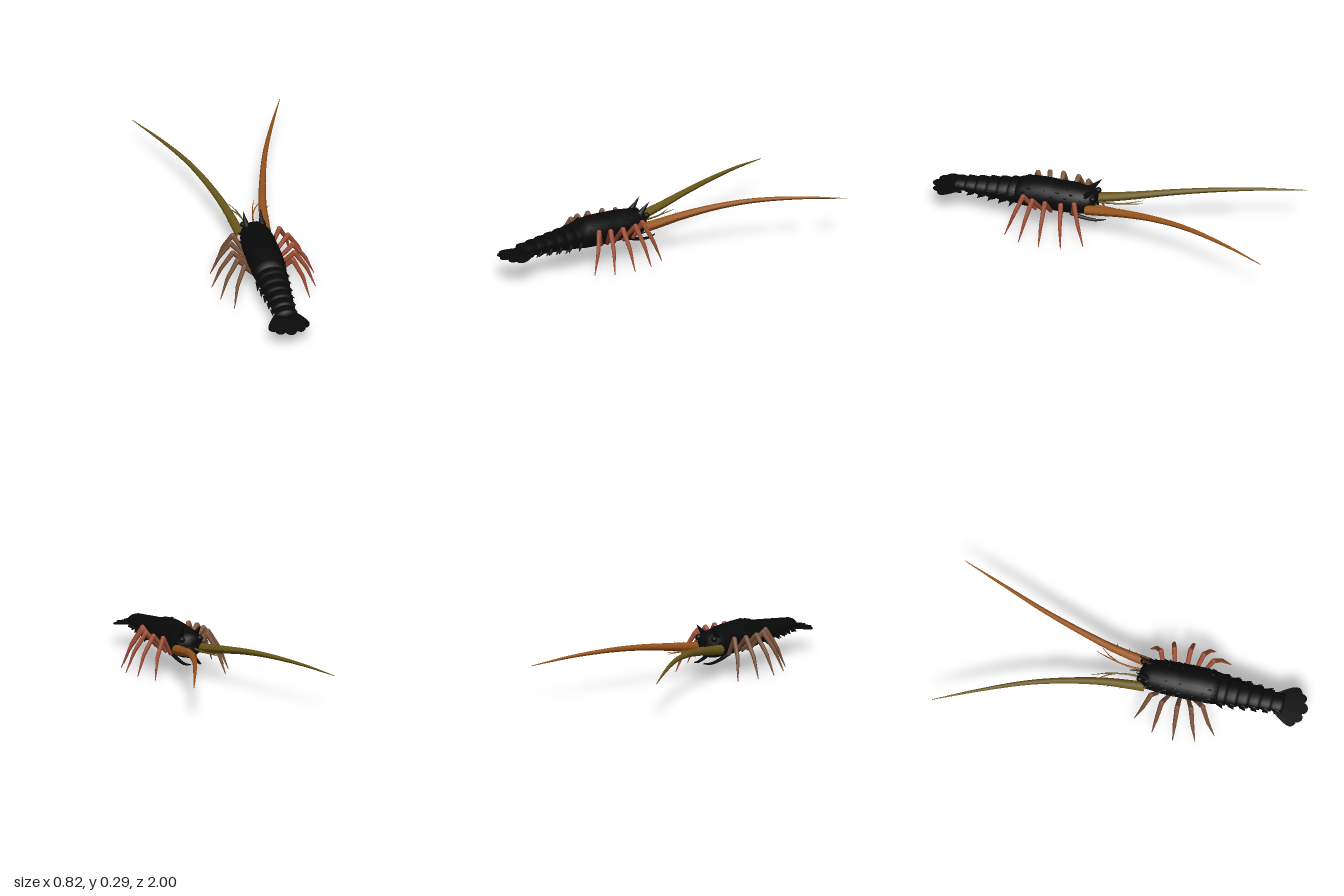
import * as THREE from 'three';

const V = (x, y, z) => new THREE.Vector3(x, y, z);

export function createModel() {
  const root = new THREE.Group();
  const mat = (name, color, double) => {
    const m = new THREE.MeshStandardMaterial({ color });
    m.name = name;
    if (double) m.side = THREE.DoubleSide;
    return m;
  };
  const shell = mat('black shell', 0x090909, true);
  const legMats = { 1: mat('red brown leg', 0x9c4c33), '-1': mat('brown leg', 0x795239) };
  const feelerMats = { 1: mat('orange brown antenna', 0x96531a), '-1': mat('olive antenna', 0x68561a) };

  const add = (name, geo, material) => {
    const mesh = new THREE.Mesh(geo, material);
    mesh.name = name;
    root.add(mesh);
    return mesh;
  };

  // Elliptical loft along z; each section is [z, centreY, halfWidth, halfHeight]
  const loft = (name, sections) => {
    const geo = new THREE.LatheGeometry(sections.map((s, i) => new THREE.Vector2(1, i)), 28);
    const p = geo.attributes.position;
    for (let i = 0; i < p.count; i++) {
      const [z, cy, rx, ry] = sections[Math.round(p.getY(i))];
      p.setXYZ(i, p.getX(i) * rx, cy - p.getZ(i) * ry, z);
    }
    geo.computeVertexNormals();
    return add(name, geo, shell);
  };

  // Tapered tube through points, radius interpolated from a list
  const taper = (name, points, radii, material, steps = 32, sides = 8, straight = false) => {
    let curve = new THREE.CatmullRomCurve3(points);
    if (straight) {
      curve = new THREE.CurvePath();
      for (let i = 1; i < points.length; i++) curve.add(new THREE.LineCurve3(points[i - 1], points[i]));
    }
    const geo = new THREE.TubeGeometry(curve, steps, 1, sides, false);
    const p = geo.attributes.position, v = V(0, 0, 0);
    for (let i = 0; i < p.count; i++) {
      const t = Math.floor(i / (sides + 1)) / steps;
      const f = t * (radii.length - 1), k = Math.min(Math.floor(f), radii.length - 2);
      const r = THREE.MathUtils.lerp(radii[k], radii[k + 1], f - k);
      const c = curve.getPointAt(t);
      v.fromBufferAttribute(p, i).sub(c).multiplyScalar(r).add(c);
      p.setXYZ(i, v.x, v.y, v.z);
    }
    geo.computeVertexNormals();
    return add(name, geo, material);
  };

  // Pointed cone from a to b
  const spine = (name, a, b, r, material = shell) => {
    const d = b.clone().sub(a);
    const m = add(name, new THREE.ConeGeometry(r, d.length(), 8), material);
    m.position.copy(a).addScaledVector(d, 0.5);
    m.quaternion.setFromUnitVectors(V(0, 1, 0), d.normalize());
  };

  // Carapace with the neck groove
  loft('carapace', [
    [0.075, 0.175, 0.001, 0.001], [0.075, 0.175, 0.055, 0.05], [0.10, 0.175, 0.074, 0.07],
    [0.14, 0.175, 0.085, 0.077], [0.20, 0.176, 0.093, 0.082], [0.27, 0.177, 0.096, 0.084],
    [0.29, 0.176, 0.094, 0.082], [0.32, 0.177, 0.097, 0.085], [0.40, 0.177, 0.097, 0.085],
    [0.47, 0.174, 0.093, 0.08], [0.51, 0.170, 0.087, 0.07], [0.51, 0.17, 0.001, 0.001]]);

  // Overlapping abdomen rings with side points
  for (let i = 0; i < 6; i++) {
    const z = 0.485 + i * 0.062, rx = 0.088 - i * 0.0062, ry = 0.067 - i * 0.0062, cy = 0.168 - i * 0.003;
    loft('abdomenRing', [
      [z, cy, 0.001, 0.001], [z, cy, rx * 0.9, ry * 0.9], [z + 0.02, cy, rx * 0.97, ry * 0.97],
      [z + 0.055, cy, rx, ry], [z + 0.07, cy, rx * 0.96, ry * 0.96], [z + 0.074, cy, 0.001, 0.001]]);
    for (const s of [1, -1]) {
      spine('sidePoint', V(s * rx * 0.85, cy - 0.02, z + 0.035), V(s * rx * 0.98, cy - ry * 0.95, z + 0.058), 0.016);
      spine('ringThorn', V(s * rx * 0.9, cy + 0.01, z + 0.04), V(s * (rx + 0.007), cy + 0.012, z + 0.065), 0.009);
      // Swimmerets under the tail
      if (i > 0 && i < 5) spine('swimmeret', V(s * rx * 0.5, cy - ry * 0.75, z + 0.03), V(s * rx * 0.6, cy - ry - 0.008, z + 0.06), 0.012);
    }
  }

  // Tail fan: thin lobes spread around the telson
  const lobe = (name, x, z, angle, length, width, y) => {
    const s = new THREE.Shape();
    s.moveTo(-width * 0.35, 0);
    s.bezierCurveTo(-width * 0.6, length * 0.3, -width * 1.2, length * 0.8, -width * 0.6, length * 0.94);
    s.lineTo(-width * 0.2, length);
    s.lineTo(width * 0.2, length);
    s.lineTo(width * 0.6, length * 0.94);
    s.bezierCurveTo(width * 1.2, length * 0.8, width * 0.6, length * 0.3, width * 0.35, 0);
    const geo = new THREE.ExtrudeGeometry(s, { depth: 0.006, bevelEnabled: false, curveSegments: 8 });
    geo.rotateX(Math.PI / 2);
    const m = add(name, geo, shell);
    m.rotation.set(0.12, angle, 0, 'YXZ');
    m.position.set(x, y, z);
  };
  lobe('telson', 0, 0.82, 0, 0.18, 0.04, 0.153);
  for (const s of [1, -1]) {
    lobe('innerTailLobe', s * 0.025, 0.82, s * 0.22, 0.165, 0.036, 0.150);
    lobe('outerTailLobe', s * 0.035, 0.81, s * 0.42, 0.15, 0.037, 0.147);
  }

  // Mouth block under the face
  loft('mouth', [[0.06, 0.145, 0.001, 0.001], [0.065, 0.145, 0.035, 0.03], [0.1, 0.14, 0.05, 0.035], [0.15, 0.14, 0.001, 0.001]]);

  const tips = [[0.205, 0.08], [0.265, 0.19], [0.285, 0.31], [0.265, 0.43], [0.21, 0.525]];
  const knees = [[0.13, 0.155], [0.16, 0.222], [0.168, 0.31], [0.16, 0.385], [0.135, 0.445]];
  const hipZ = [0.18, 0.245, 0.305, 0.35, 0.39];

  for (const s of [1, -1]) {
    // Brow horns, eyes and carapace thorns
    spine('browHorn', V(s * 0.042, 0.225, 0.115), V(s * 0.049, 0.292, 0.052), 0.019);
    const eye = add('eye', new THREE.SphereGeometry(0.017, 16, 12), shell);
    eye.position.set(s * 0.052, 0.215, 0.075);
    for (let row = 0; row < 4; row++) {
      const a = [0.12, 0.42, 0.72, 1.05][row];
      for (let i = 0; i < 5; i++) {
        const z = 0.12 + i * 0.08 + (row % 2) * 0.03, k = i === 0 ? 0.88 : 1;
        const x = Math.cos(a) * 0.094 * k, y = Math.sin(a) * 0.082 * k;
        spine('carapaceThorn', V(s * x * 0.93, 0.176 + y * 0.93, z),
          V(s * x * 1.09, 0.176 + y * 1.05, z - 0.022), 0.008);
      }
    }

    // Walking legs
    tips.forEach(([tx, tz], i) => {
      const [kx, kz] = knees[i];
      const hip = V(s * 0.075, 0.115, hipZ[i]), knee = V(s * kx, 0.213, kz), tip = V(s * tx, 0.001, tz);
      const shin = knee.clone().lerp(tip, 0.47).add(V(s * 0.012, 0.004, 0));
      taper('upperLeg', [hip, knee], [0.011, 0.014], legMats[s], 4, 8, true);
      taper('lowerLeg', [knee, shin, tip], [0.014, 0.0105, 0.002], legMats[s], 12, 8, true);
      const joint = add('kneeJoint', new THREE.SphereGeometry(0.014, 10, 8), legMats[s]);
      joint.position.copy(knee);
    });

    // Mouth feelers curling forward below the head
    taper('mouthLeg', [V(s * 0.06, 0.115, 0.2), V(s * 0.05, 0.092, 0.13), V(s * 0.042, 0.083, 0.06), V(s * 0.03, 0.09, 0.005)],
      [0.012, 0.01, 0.008, 0.003], shell, 16);

    // Long antenna with thorny base
    taper('antenna', [V(s * 0.07, 0.155, 0.105), V(s * 0.08, 0.167, 0.02), V(s * 0.102, 0.19, -0.12), V(s * 0.152, 0.218, -0.32),
      V(s * 0.215, 0.232, -0.52), V(s * 0.31, 0.228, -0.76), V(s * 0.411, 0.207, -0.999)],
      [0.028, 0.023, 0.018, 0.0145, 0.011, 0.007, 0.0015], feelerMats[s], 48, 10);
    for (const [x, y, z] of [[0.078, 0.165, 0.04], [0.086, 0.172, 0], [0.097, 0.184, -0.07]]) {
      spine('antennaThorn', V(s * x, y, z), V(s * (x + 0.034), y + 0.008, z - 0.022), 0.008, feelerMats[s]);
      spine('antennaThorn', V(s * x, y, z), V(s * (x - 0.004), y + 0.033, z - 0.022), 0.008, feelerMats[s]);
    }

    // Forked antennules
    const fork = V(s * 0.032, 0.165, -0.06);
    taper('antennuleStem', [V(s * 0.022, 0.16, 0.09), V(s * 0.022, 0.163, 0.01), fork], [0.007, 0.005, 0.004], feelerMats[s], 10, 6);
    for (const [x, z] of [[0.07, -0.19], [0.098, -0.165]])
      taper('antennuleTip', [fork, V(s * (x * 0.5 + 0.01), 0.168, -0.115), V(s * x, 0.166, z)], [0.004, 0.003, 0.001], feelerMats[s], 10, 6);
  }
  return root;
}
